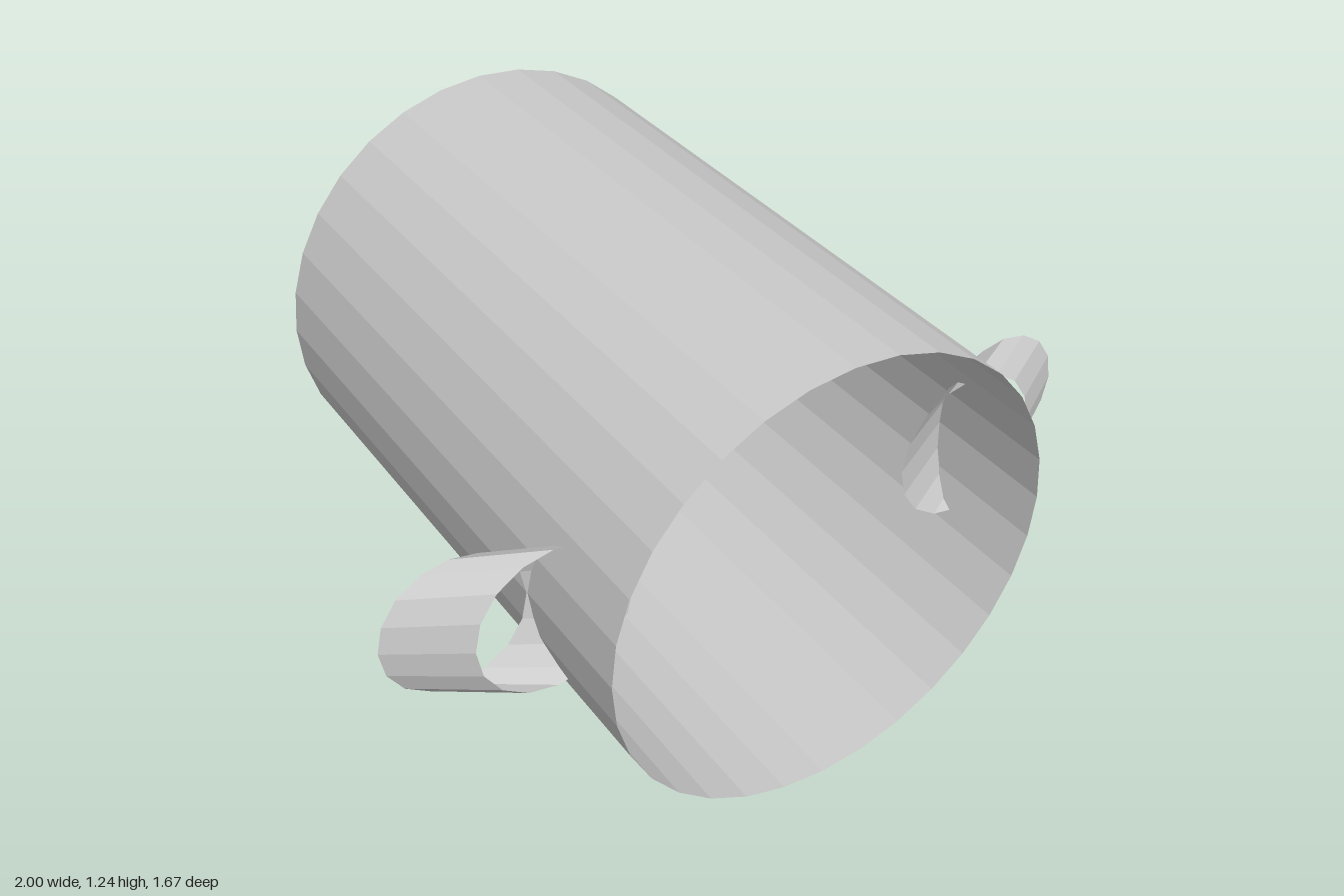
import * as THREE from 'three';

const material = new THREE.MeshStandardMaterial({
  color: 0xcccccc, flatShading: true, side: THREE.DoubleSide,
});

// Open thin-walled tube lying along z, with its own radius at each end
function openTube(name, frontRadius, backRadius, length, sides) {
  const geometry = new THREE.CylinderGeometry(frontRadius, backRadius, length, sides, 1, true);
  geometry.rotateX(Math.PI / 2);
  const mesh = new THREE.Mesh(geometry, material);
  mesh.name = name;
  return mesh;
}

export function createModel() {
  const group = new THREE.Group();
  const radius = 0.618;

  // Large open barrel
  const barrel = openTube('barrel', radius, radius, 1.674, 32);
  barrel.position.y = radius;
  group.add(barrel);

  // Slanted side rings: front end sits on the barrel wall, back end leans outward
  const frontZ = 0.58, backZ = 0.466;
  const frontX = 0.607, backX = 0.81;
  for (const side of [1, -1]) {
    const ring = openTube(side > 0 ? 'leftRing' : 'rightRing', 0.207, 0.19, frontZ - backZ, 16);
    const slope = side * (backX - frontX) / (backZ - frontZ);
    ring.geometry.applyMatrix4(new THREE.Matrix4().set(
      1, 0, slope, 0,
      0, 1, 0, 0,
      0, 0, 1, 0,
      0, 0, 0, 1,
    ));
    ring.geometry.computeVertexNormals();
    ring.position.set(side * (frontX + backX) / 2, radius, (frontZ + backZ) / 2);
    group.add(ring);
  }
  return group;
}
